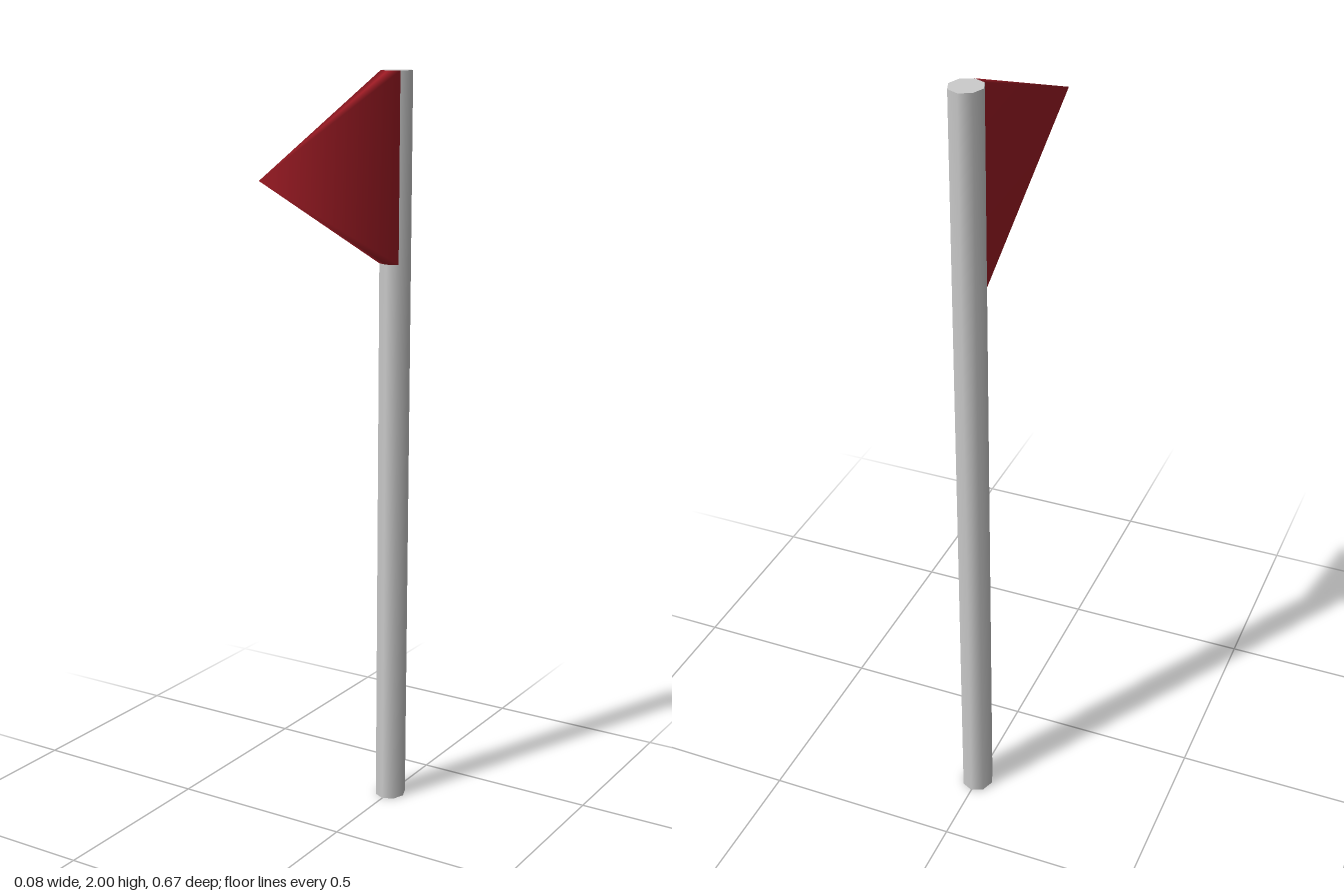
import * as THREE from 'three';

const POLE_Z = -0.289, RX = 0.041, RZ = 0.046;

// Point on the eight-sided pole outline, angle measured from the front (+z)
const onPole = (angle, y) => [RX * Math.sin(angle), y, POLE_Z + RZ * Math.cos(angle)];

export function createModel() {
  const group = new THREE.Group();

  // Octagonal pole
  const pole = new THREE.Mesh(
    new THREE.CylinderGeometry(1, 1, 2, 8),
    new THREE.MeshStandardMaterial({ color: 0xcccccc })
  );
  pole.name = 'pole';
  pole.scale.set(RX, 1, RZ);
  pole.position.set(0, 1, POLE_Z);
  group.add(pole);

  // Pennant: grows from the two front pole facets and tapers to a point
  const a = Math.PI / 4, top = 2, bottom = 1.51;
  const ring = [
    ...[a, 0, -a].map(t => onPole(t, top)),
    ...[-a, 0, a].map(t => onPole(t, bottom))
  ];
  const index = [];
  for (let i = 0; i < 6; i++) index.push(i, (i + 1) % 6, 6);
  const geometry = new THREE.BufferGeometry();
  geometry.setAttribute('position',
    new THREE.Float32BufferAttribute([...ring, [0, 1.77, 0.335]].flat(), 3));
  geometry.setIndex(index);
  geometry.computeVertexNormals();
  const flag = new THREE.Mesh(geometry,
    new THREE.MeshStandardMaterial({ color: 0x9e1b24, side: THREE.DoubleSide }));
  flag.name = 'flag';
  group.add(flag);

  return group;
}
